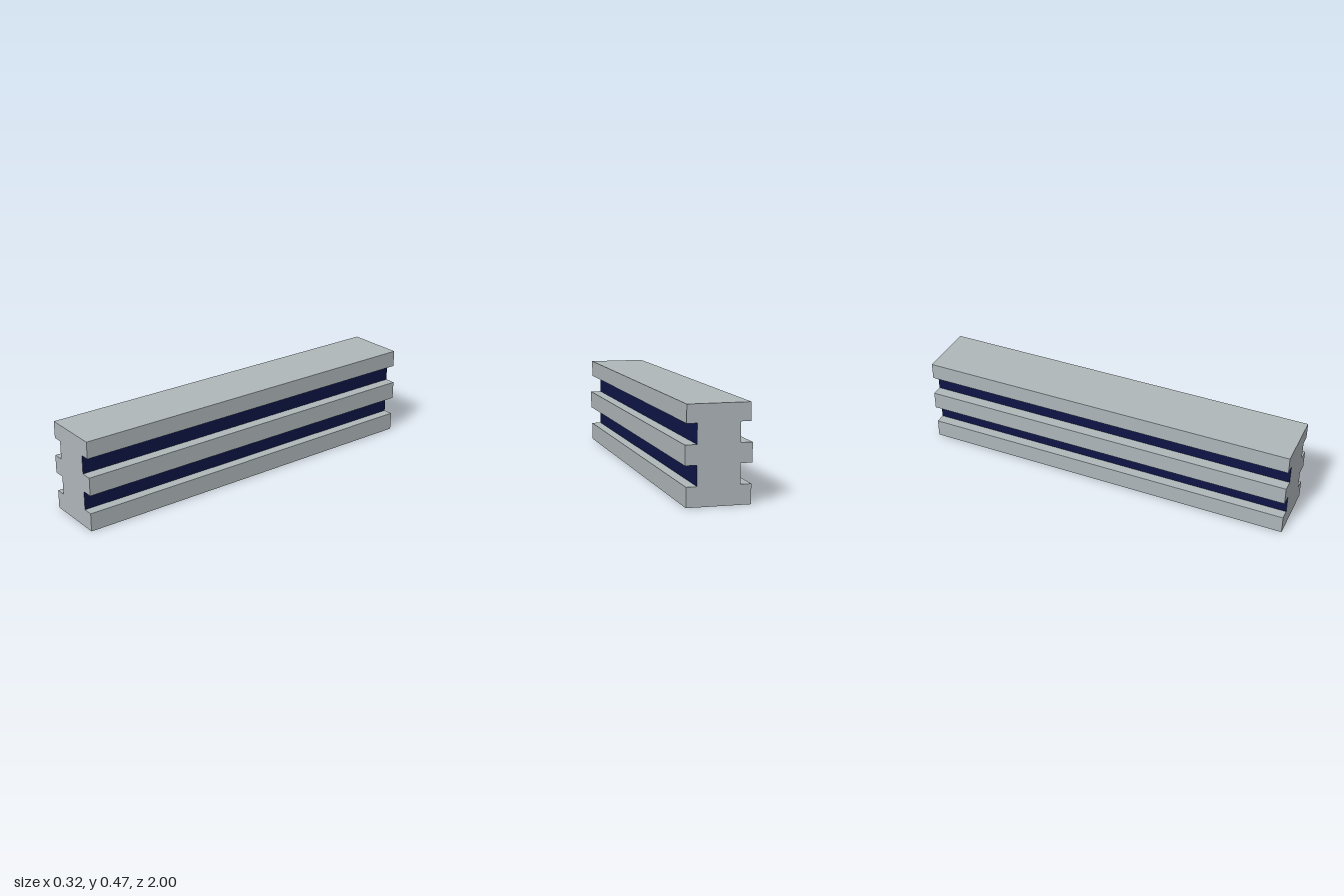
import * as THREE from 'three';

const LENGTH = 2;
const WEB = 0.103; // half width of the narrow core
// flanges from bottom to top: [y from, y to, half width]
const FLANGES = [
  [0, 0.096, 0.156],
  [0.194, 0.289, 0.161],
  [0.386, 0.474, 0.153],
];

export function createModel() {
  const model = new THREE.Group();
  model.name = 'groovedBeam';
  const grey = new THREE.MeshStandardMaterial({ color: 0xaeb6b9 });
  const navy = new THREE.MeshStandardMaterial({ color: 0x0d1445 });

  // beam: right half of the profile going up, mirrored coming down
  const right = [];
  FLANGES.forEach(([y0, y1, w], i) => {
    if (i > 0) right.push([WEB, y0]);
    right.push([w, y0], [w, y1]);
    if (i < FLANGES.length - 1) right.push([WEB, y1]);
  });
  const left = right.map(([x, y]) => [-x, y]).reverse();
  const profile = new THREE.Shape([...right, ...left].map(([x, y]) => new THREE.Vector2(x, y)));
  const geometry = new THREE.ExtrudeGeometry(profile, { depth: LENGTH, bevelEnabled: false });
  geometry.translate(0, 0, -LENGTH / 2);
  const beam = new THREE.Mesh(geometry, grey);
  beam.name = 'beam';
  model.add(beam);

  // dark lining on the floor of each groove, both sides
  for (let i = 0; i < FLANGES.length - 1; i++) {
    const y0 = FLANGES[i][1], y1 = FLANGES[i + 1][0];
    for (const side of [1, -1]) {
      const strip = new THREE.Mesh(new THREE.PlaneGeometry(LENGTH, y1 - y0), navy);
      strip.rotation.y = side * Math.PI / 2;
      strip.position.set(side * (WEB + 0.0006), (y0 + y1) / 2, 0);
      strip.name = `${side > 0 ? 'left' : 'right'}${i === 0 ? 'Lower' : 'Upper'}GrooveLining`;
      model.add(strip);
    }
  }
  return model;
}
